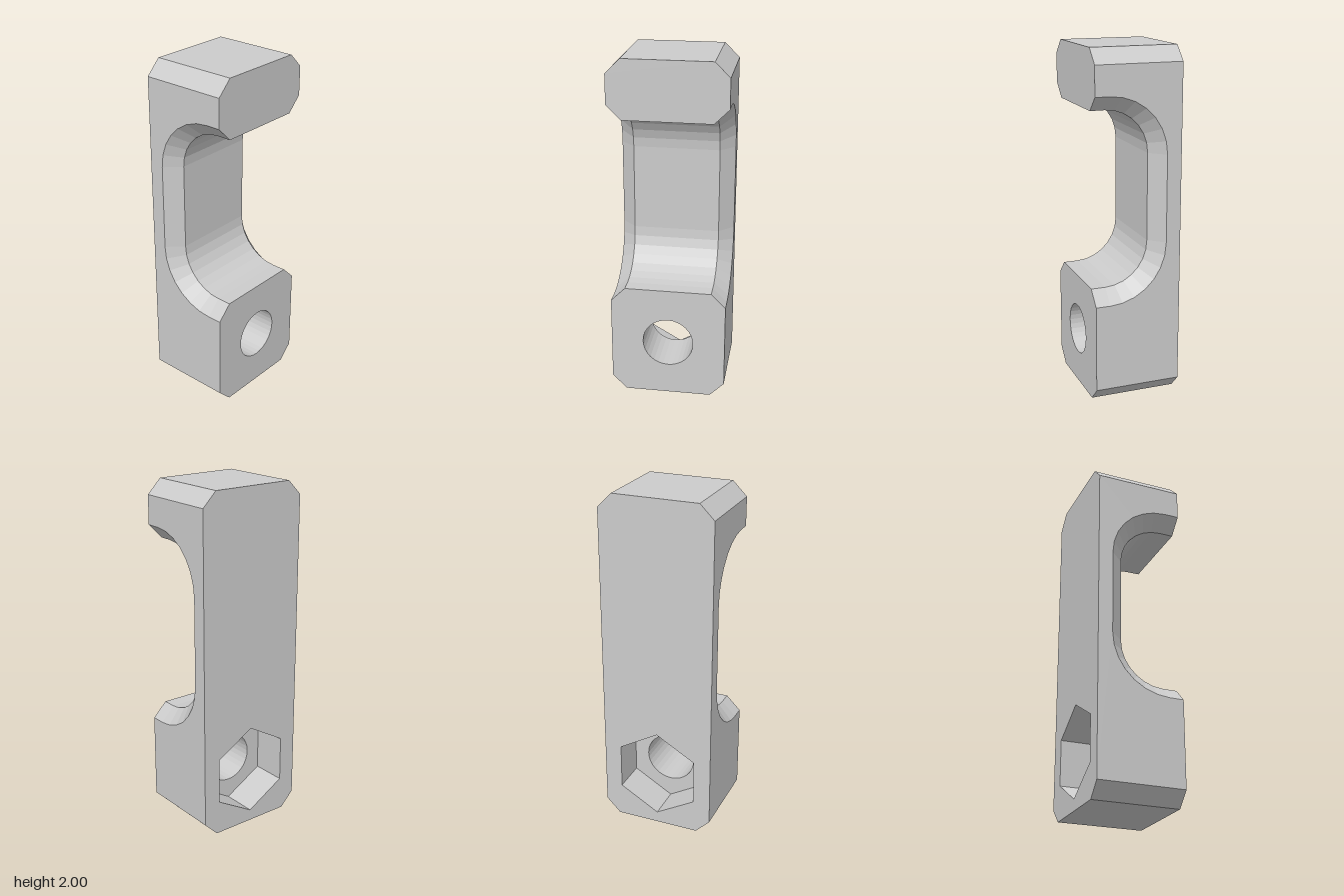
import * as THREE from 'three';

const W = 0.25, C = 0.083;          // half width inside the chamfers, chamfer size
const D = 0.25;                     // half depth
const HOLE_Y = 1 / 3, HOLE_R = 0.147, HEX_R = 0.267, FLOOR_Z = -0.042;
const ARC_STEPS = 7;

const grey = (side = THREE.FrontSide) =>
  new THREE.MeshStandardMaterial({ color: 0xcccccc, flatShading: true, side });

function mesh(name, geometry, side) {
  const m = new THREE.Mesh(geometry, grey(side));
  m.name = name;
  return m;
}

// Side profile as [z, y] points, pulled in by c towards the outer faces.
function profile(c) {
  const r = 0.25 + c, cz = 0.167, pts = [[-D, c], [D, c], [D, 0.917 - r]];
  for (const [cy, start] of [[0.917, -Math.PI / 2], [1.417, 0]]) {
    for (let i = 0; i <= ARC_STEPS; i++) {
      const a = start + (i / ARC_STEPS) * Math.PI / 2;
      pts.push([cz - r * Math.cos(a), cy + r * Math.sin(a)]);
    }
  }
  pts.push([D, 1.417 + r], [D, 2 - c], [-D, 2 - c]);
  return pts;
}

// Bands running across x between the four cross-sections, for points from..to.
function band(from, to) {
  const sections = [[-W - C, C], [-W, 0], [W, 0], [W + C, C]]
    .map(([x, c]) => profile(c).map(([z, y]) => [x, y, z]));
  const pos = [];
  for (let s = 0; s < 3; s++) {
    const a = sections[s], b = sections[s + 1];
    for (let i = from; i < to; i++) {
      pos.push(...a[i], ...b[i], ...b[i + 1], ...a[i], ...b[i + 1], ...a[i + 1]);
    }
  }
  const g = new THREE.BufferGeometry();
  g.setAttribute('position', new THREE.Float32BufferAttribute(pos, 3));
  g.computeVertexNormals();
  return g;
}

// Rectangle with chamfered corners between two heights.
function plate(y0, y1) {
  const o = W + C;
  return new THREE.Shape([
    [-W, y0], [W, y0], [o, y0 + C], [o, y1 - C],
    [W, y1], [-W, y1], [-o, y1 - C], [-o, y0 + C],
  ].map(([x, y]) => new THREE.Vector2(x, y)));
}

// Regular polygon around the bolt axis, first corner at the top.
function ring(radius, sides) {
  return Array.from({ length: sides }, (_, i) => {
    const a = Math.PI / 2 + (i / sides) * Math.PI * 2;
    return new THREE.Vector2(radius * Math.cos(a), HOLE_Y + radius * Math.sin(a));
  });
}

// Inner wall of a bore along z.
function bore(radius, sides, z0, z1) {
  return new THREE.CylinderGeometry(radius, radius, z1 - z0, sides, 1, true)
    .rotateX(Math.PI / 2).translate(0, HOLE_Y, (z0 + z1) / 2);
}

export function createModel() {
  const group = new THREE.Group();
  group.name = 'clampBracket';
  const last = profile(0).length - 1;

  // Bottom, rounded notch and top, each with its chamfers
  group.add(mesh('bottom', band(0, 1)));
  group.add(mesh('notch', band(2, last - 2)));
  group.add(mesh('top', band(last - 1, last)));

  // Side faces
  for (const [name, s] of [['leftSide', 1], ['rightSide', -1]]) {
    const shape = new THREE.Shape(profile(C).map(([z, y]) => new THREE.Vector2(-s * z, y)));
    group.add(mesh(name, new THREE.ShapeGeometry(shape)
      .rotateY(s * Math.PI / 2).translate(s * (W + C), 0, 0)));
  }

  // Front faces above and below the notch
  const lower = plate(0, 0.667);
  lower.holes.push(new THREE.Path(ring(HOLE_R, 32)));
  group.add(mesh('lowerFront', new THREE.ShapeGeometry(lower).translate(0, 0, D)));
  group.add(mesh('upperFront', new THREE.ShapeGeometry(plate(1.667, 2)).translate(0, 0, D)));

  // Back face with the nut pocket opening
  const back = plate(0, 2);
  back.holes.push(new THREE.Path(ring(HEX_R, 6)));
  group.add(mesh('back', new THREE.ShapeGeometry(back).rotateY(Math.PI).translate(0, 0, -D)));

  // Nut pocket and bolt hole
  const floor = new THREE.Shape(ring(HEX_R, 6));
  floor.holes.push(new THREE.Path(ring(HOLE_R, 32)));
  group.add(mesh('nutPocketFloor',
    new THREE.ShapeGeometry(floor).rotateY(Math.PI).translate(0, 0, FLOOR_Z)));
  group.add(mesh('nutPocketWall', bore(HEX_R, 6, -D, FLOOR_Z), THREE.BackSide));
  group.add(mesh('boltHole', bore(HOLE_R, 32, FLOOR_Z, D), THREE.BackSide));

  return group;
}
